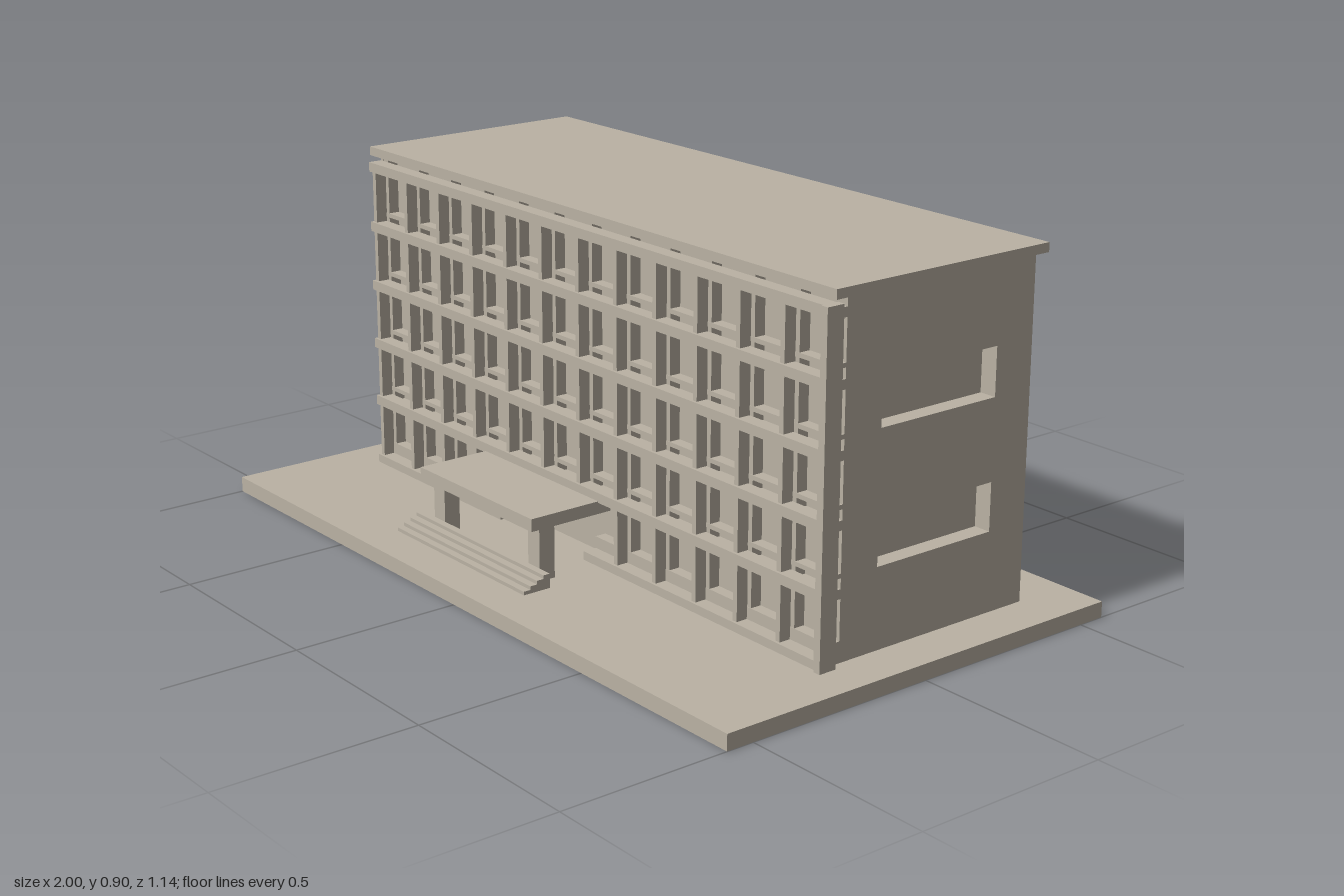
import * as THREE from 'three';

export function createModel() {
  const model = new THREE.Group();
  model.name = 'officeBlock';
  const stone = new THREE.MeshStandardMaterial({ color: 0xbab2a4 });
  stone.name = 'warm stone';

  // Box given by its limits on each axis
  function box(name, x0, x1, y0, y1, z0, z1, parent = model) {
    const mesh = new THREE.Mesh(new THREE.BoxGeometry(x1 - x0, y1 - y0, z1 - z0), stone);
    mesh.position.set((x0 + x1) / 2, (y0 + y1) / 2, (z0 + z1) / 2);
    mesh.name = name;
    parent.add(mesh);
    return mesh;
  }

  // Ground slab, main volume and roof
  box('groundSlab', -1, 1, 0, 0.04, -0.571, 0.571);
  box('mainBlock', -0.88, 0.835, 0.04, 0.88, -0.42, 0.15);
  box('roofSlab', -0.9, 0.9, 0.88, 0.903, -0.44, 0.2);
  box('rightEndWall', -0.88, -0.87, 0.04, 0.88, 0.15, 0.18);

  // Side wall with two recessed openings; shape x runs along -z
  const wall = new THREE.Shape();
  wall.moveTo(-0.15, 0.04).lineTo(0.42, 0.04).lineTo(0.42, 0.88).lineTo(-0.15, 0.88).closePath();
  for (const y of [0.24, 0.562]) {
    const hole = new THREE.Path();
    hole.moveTo(-0.042, y).lineTo(-0.042, y + 0.12).lineTo(0.308, y + 0.12).lineTo(0.308, y).closePath();
    wall.holes.push(hole);
  }
  const sideGeometry = new THREE.ExtrudeGeometry(wall, { depth: 0.045, bevelEnabled: false });
  sideGeometry.rotateY(Math.PI / 2);
  const sideWall = new THREE.Mesh(sideGeometry, stone);
  sideWall.position.x = 0.835;
  sideWall.name = 'sideWallWithOpenings';
  model.add(sideWall);

  // Front grid: twelve bays by five storeys
  const grid = new THREE.Group();
  grid.name = 'facadeGrid';
  model.add(grid);
  const bay = 0.1466, storey = 0.1595, doorLeft = -0.31, doorRight = 0.04;

  for (let i = 0; i < 12; i++) {
    const x = -0.868 + i * bay;
    const foot = x > doorLeft && x < doorRight ? 0.2 : 0.04;
    box('verticalBar', x - 0.007, x + 0.007, foot, 0.866, 0.15, 0.21, grid);
    box('windowJamb', Math.max(x - 0.014, -0.879), x + 0.02, foot, 0.88, 0.15, 0.179, grid);
  }
  box('endFin', 0.88, 0.9, 0.04, 0.868, 0.178, 0.225, grid);

  for (let j = 0; j < 5; j++) {
    const y = j * storey;
    box('frontBeam', -0.88, 0.882, y + 0.204, y + 0.229, 0.18, 0.217, grid);
    box('windowHead', -0.879, 0.88, y + 0.192, y + 0.215, 0.15, 0.18, grid);
    if (j > 0) box('windowSill', -0.879, 0.88, y + 0.081, y + 0.092, 0.15, 0.18, grid);
  }

  // Lowest sill and beam stop either side of the entrance
  for (const [x0, x1] of [[-0.879, doorLeft], [doorRight, 0.88]]) {
    box('baseSill', x0, x1, 0.04, 0.092, 0.15, 0.18, grid);
    box('baseBeam', x0, x1, 0.04, 0.062, 0.18, 0.217, grid);
  }

  // Entrance canopy on two columns
  box('canopy', -0.37, 0.1, 0.176, 0.208, 0.18, 0.414);
  for (const x of [-0.334, 0.066]) {
    box('canopyColumn', x - 0.023, x + 0.023, 0.04, 0.176, 0.34, 0.384);
  }

  // Entrance steps
  for (let i = 0; i < 4; i++) {
    box('entranceStep', -0.405, 0.135, 0.04 + i * 0.009, 0.049 + i * 0.009, 0.388, 0.464 - i * 0.019);
  }
  return model;
}
